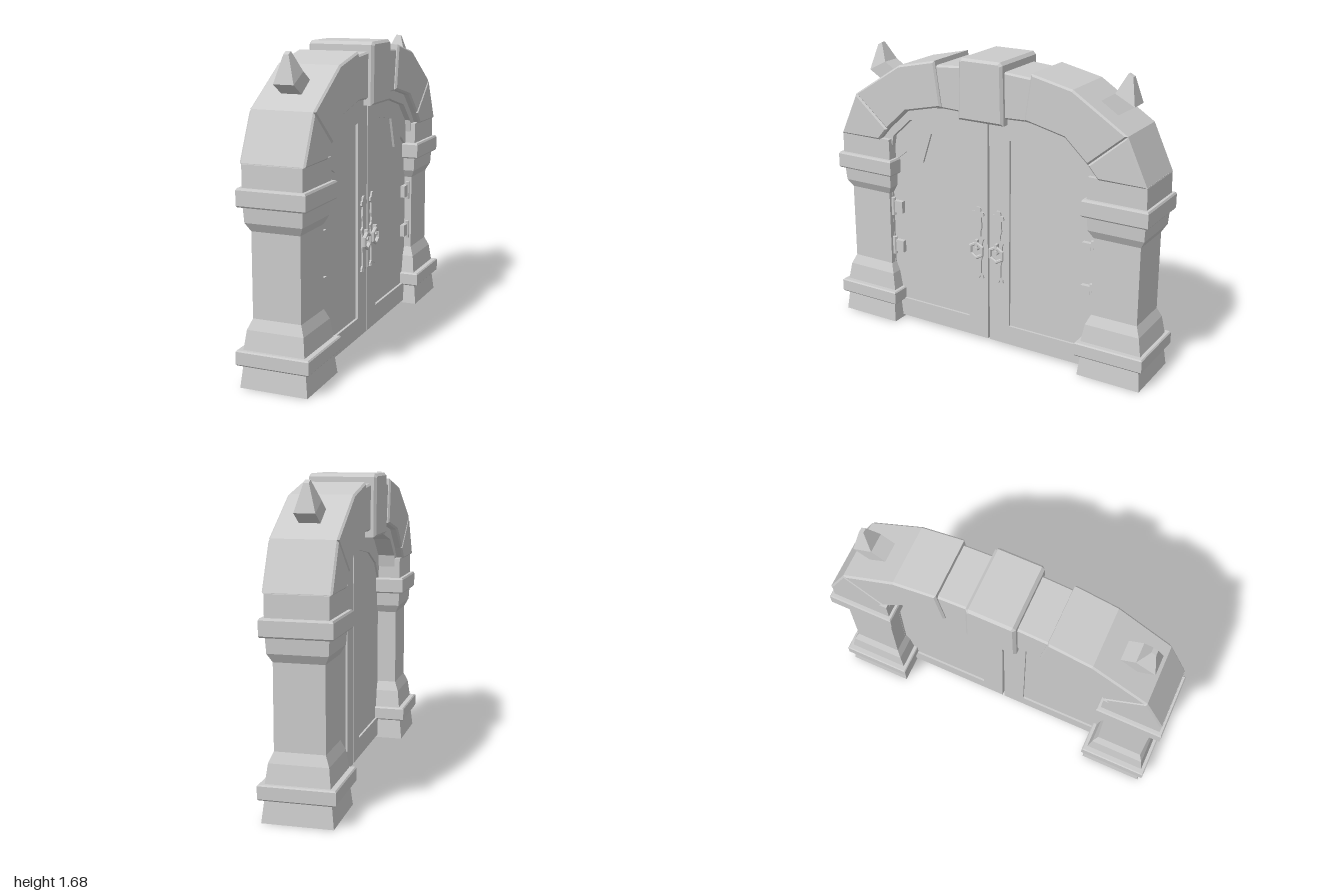
import * as THREE from 'three';

const mat = new THREE.MeshStandardMaterial({ color: 0xcccccc, flatShading: true, side: THREE.DoubleSide });

function add(parent, name, geometry) {
  const mesh = new THREE.Mesh(geometry, mat);
  mesh.name = name;
  parent.add(mesh);
  return mesh;
}

// Extrudes a [z, y] outline from x0 to x1; side -1 mirrors it in z
function slab(points, x0, x1, side = 1, bevel = 0, hole = null) {
  const toVec = (list) => list.map(([z, y]) => new THREE.Vector2(z * side, y));
  const shape = new THREE.Shape(toVec(points));
  if (hole) shape.holes.push(new THREE.Path(toVec(hole)));
  const geo = new THREE.ExtrudeGeometry(shape, {
    depth: x1 - x0 - 2 * bevel, bevelEnabled: bevel > 0,
    bevelSize: bevel, bevelThickness: bevel, bevelOffset: -bevel, bevelSegments: 1,
  });
  geo.rotateY(-Math.PI / 2);
  geo.translate(x1 - bevel, 0, 0);
  return geo;
}

// Skins four-cornered rings [halfX, zOuter, yOuter, zInner, yInner]
function loft(rings, side) {
  const pos = [];
  const loops = rings.map(([hx, zo, yo, zi, yi]) => {
    const loop = [[hx, yo, zo * side], [hx, yi, zi * side], [-hx, yi, zi * side], [-hx, yo, zo * side]];
    return side < 0 ? loop.reverse() : loop;
  });
  const quad = (a, b, c, d) => pos.push(...a, ...b, ...c, ...a, ...c, ...d);
  for (let r = 0; r < loops.length - 1; r++) {
    for (let i = 0; i < 4; i++) {
      const j = (i + 1) % 4;
      quad(loops[r][i], loops[r][j], loops[r + 1][j], loops[r + 1][i]);
    }
  }
  quad(...loops[loops.length - 1]);
  const geo = new THREE.BufferGeometry();
  geo.setAttribute('position', new THREE.Float32BufferAttribute(pos, 3));
  geo.computeVertexNormals();
  return geo;
}

// Pillar profile: [y, half width in x, half width in z], open underneath
const pillarProfile = [
  [0, 0.185, 0.185], [0.115, 0.172, 0.172], [0.12, 0.194, 0.194], [0.127, 0.2, 0.2],
  [0.193, 0.2, 0.2], [0.2, 0.194, 0.194], [0.2, 0.167, 0.176], [0.3, 0.155, 0.158],
  [0.355, 0.132, 0.134], [0.8, 0.132, 0.134], [0.845, 0.155, 0.16], [0.925, 0.16, 0.165],
  [0.925, 0.18, 0.182], [0.933, 0.186, 0.188], [1.01, 0.186, 0.188], [1.02, 0.18, 0.182],
  [1.02, 0.162, 0.168], [1.14, 0.162, 0.166],
];

// Arch stones: name, half depth, outline
const stones = [
  ['lowerArchStone', 0.175, [[0.967, 1.135], [0.85, 1.387], [0.635, 1.205], [0.695, 1.135]]],
  ['middleArchStone', 0.175, [[0.85, 1.387], [0.54, 1.585], [0.3, 1.638], [0.262, 1.385], [0.5, 1.33], [0.635, 1.205]]],
  ['upperArchStone', 0.16, [[0.32, 1.61], [0.257, 1.615], [0.1, 1.627], [0.1, 1.37], [0.262, 1.375], [0.3, 1.37]]],
];

const lining = [
  [0.1, 1.45], [0.28, 1.43], [0.53, 1.36], [0.68, 1.22], [0.72, 1.01],
  [0.648, 1.01], [0.62, 1.16], [0.5, 1.27], [0.262, 1.33], [0.1, 1.337],
];

const leaf = [
  [0.006, 0.015], [0.7, 0.015], [0.7, 1.02], [0.66, 1.18], [0.52, 1.3], [0.27, 1.36], [0.006, 1.36],
];
const frontPanel = [
  [0.135, 0.13], [0.665, 0.13], [0.665, 0.98], [0.55, 1.07], [0.44, 1.02], [0.38, 1.2], [0.135, 1.24],
];
const backPanel = [
  [0.135, 0.13], [0.665, 0.13], [0.665, 0.98], [0.55, 1.12], [0.38, 1.2], [0.135, 1.24],
];

// Half outline of the handle plate: [half width, y]
const platePoints = [
  [0.006, 0.39], [0.014, 0.41], [0.036, 0.395], [0.032, 0.412], [0.02, 0.425], [0.02, 0.5], [0.028, 0.53],
  [0.028, 0.61], [0.036, 0.635], [0.018, 0.65], [0.017, 0.68], [0.025, 0.705], [0.021, 0.765],
  [0.038, 0.775], [0.036, 0.795], [0.02, 0.8], [0.016, 0.82], [0.006, 0.825],
];

function buildHandle(side) {
  const handle = new THREE.Group();
  handle.name = 'doorHandle';
  const mid = 0.065;
  const outline = [
    ...platePoints.map(([w, y]) => [mid + w, y]),
    ...platePoints.slice().reverse().map(([w, y]) => [mid - w, y]),
  ];
  add(handle, 'handlePlate', slab(outline, 0.095, 0.112, side));
  const ring = add(handle, 'handleRing', new THREE.TorusGeometry(0.045, 0.011, 6, 6));
  ring.rotation.set(0, Math.PI / 2, 0);
  ring.geometry.rotateZ(Math.PI / 6);
  ring.position.set(0.128, 0.57, mid * side);
  const knob = add(handle, 'handleKnob', new THREE.CylinderGeometry(0.011, 0.014, 0.03, 6));
  knob.rotation.z = -Math.PI / 2;
  knob.position.set(0.122, 0.58, mid * side);
  const hanger = add(handle, 'ringHanger', new THREE.BoxGeometry(0.026, 0.04, 0.016));
  hanger.position.set(0.122, 0.613, mid * side);
  return handle;
}

function buildDoor(side) {
  const door = new THREE.Group();
  door.name = side > 0 ? 'leftDoor' : 'rightDoor';
  add(door, 'doorCore', slab(leaf, -0.018, 0.088, side));
  add(door, 'frontFrame', slab(leaf, 0.088, 0.102, side, 0, frontPanel));
  add(door, 'backFrame', slab(leaf, -0.03, -0.018, side, 0, backPanel));
  for (const y of [0.47, 0.718]) {
    const plate = add(door, 'hingePlate', new THREE.BoxGeometry(0.03, 0.072, 0.085));
    plate.position.set(0.1, y, 0.632 * side);
    const pin = add(door, 'hingePin', new THREE.CylinderGeometry(0.014, 0.014, 0.108, 6));
    pin.position.set(0.11, y, 0.654 * side);
  }
  door.add(buildHandle(side));
  return door;
}

export function createModel() {
  const gate = new THREE.Group();
  gate.name = 'archedGate';
  for (const side of [1, -1]) {
    const half = new THREE.Group();
    half.name = side > 0 ? 'leftHalf' : 'rightHalf';
    const rings = pillarProfile.map(([y, hx, hz]) => [hx, 0.8 + hz, y, 0.8 - hz, y]);
    add(half, 'pillar', loft(rings, side));
    for (const [name, hx, outline] of stones) add(half, name, slab(outline, -hx, hx, side, 0.01));
    add(half, 'archLining', slab(lining, -0.13, 0.135, side));
    // Bent spike on the shoulder of the arch
    add(half, 'spike', loft([
      [0.055, 0.7, 1.43, 0.6, 1.49],
      [0.055, 0.83, 1.508, 0.72, 1.565],
      [0.014, 0.797, 1.65, 0.77, 1.665],
    ], side));
    half.add(buildDoor(side));
    gate.add(half);
  }
  // Keystone
  add(gate, 'keystone', slab(
    [[-0.142, 1.337], [0.142, 1.337], [0.134, 1.66], [0.118, 1.677], [-0.118, 1.677], [-0.134, 1.66]],
    -0.19, 0.19, 1, 0.014));
  return gate;
}
